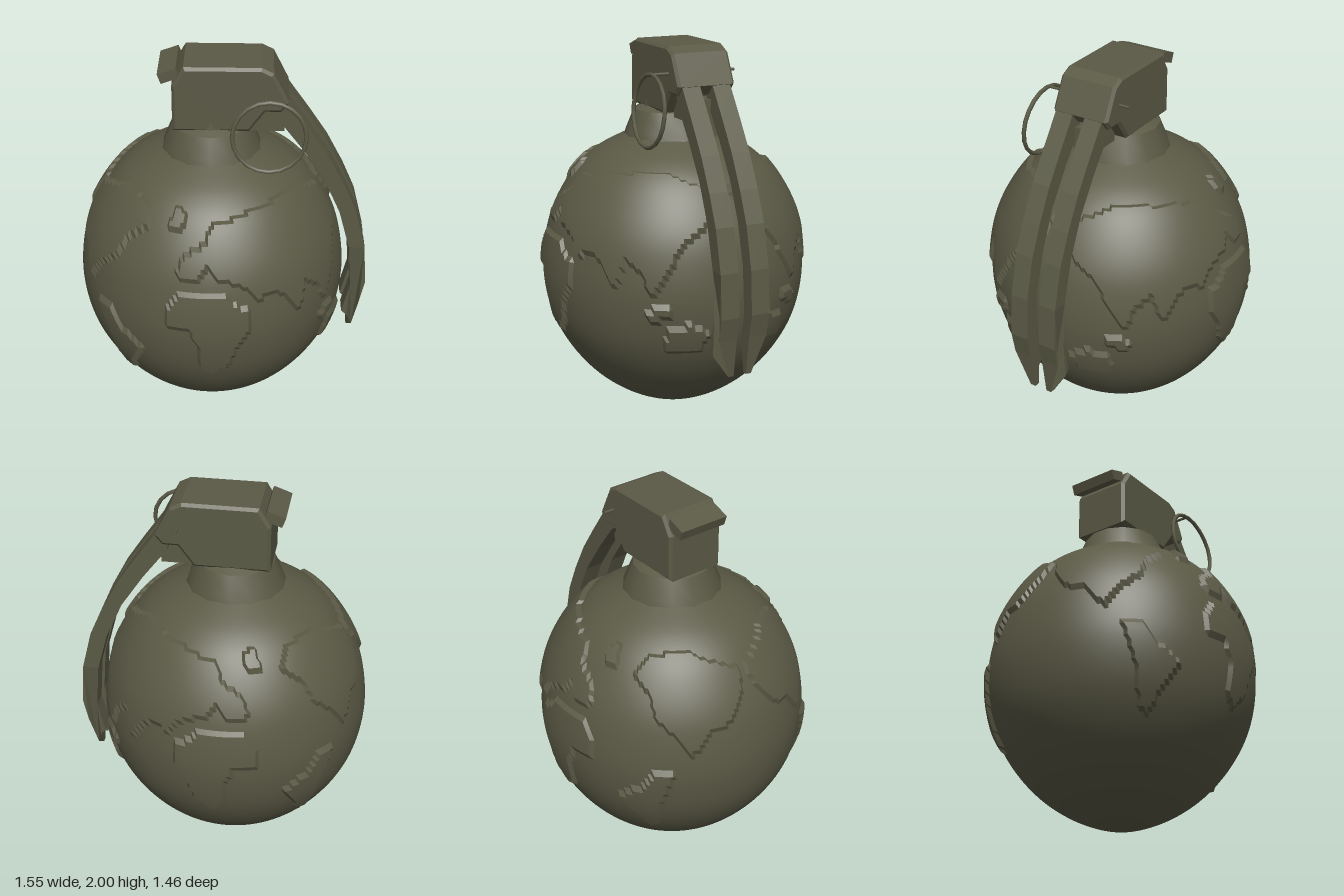
import * as THREE from 'three';
import { toCreasedNormals } from 'three/addons/utils/BufferGeometryUtils.js';

const CX = -0.055; // axis of the round body

// Raised land outlines as [angle from the front in degrees, height]
const LANDS = [
  [[-17, 0.8], [-17, 0.93], [-12, 1.0], [8, 1.0], [12, 0.95], [18, 0.92], [17, 0.8], [12, 0.7], [9, 0.58], [2, 0.5], [-3, 0.55], [-4, 0.7], [-7, 0.8]],
  [[-15, 1.1], [-10, 1.2], [-2, 1.24], [2, 1.32], [25, 1.36], [60, 1.38], [85, 1.3], [80, 1.15], [68, 1.05], [62, 0.9], [55, 0.8],
    [52, 0.92], [45, 0.98], [40, 0.82], [34, 0.95], [28, 1.0], [22, 0.96], [14, 1.05], [4, 1.09], [0, 1.15], [-6, 1.07]],
  [[52, 0.7], [60, 0.77], [66, 0.73], [58, 0.67]],
  [[60, 0.5], [62, 0.62], [72, 0.66], [80, 0.6], [76, 0.5]],
  [[-53, 0.82], [-46, 0.82], [-40, 0.72], [-29, 0.63], [-33, 0.55], [-42, 0.38], [-46, 0.42], [-48, 0.6]],
  [[-88, 1.28], [-60, 1.38], [-38, 1.36], [-32, 1.28], [-42, 1.2], [-45, 1.1], [-55, 1.0], [-60, 0.9], [-68, 1.02], [-78, 1.05], [-86, 1.18]],
  [[-20, 1.38], [-12, 1.36], [-14, 1.3], [-22, 1.28]],
];

function inside(poly, x, y) {
  let hit = false;
  for (let i = 0, j = poly.length - 1; i < poly.length; j = i++) {
    const [xi, yi] = poly[i], [xj, yj] = poly[j];
    if ((yi > y) !== (yj > y) && x < (xj - xi) * (y - yi) / (yj - yi) + xi) hit = !hit;
  }
  return hit;
}

const vecs = (pts) => pts.map(([x, y]) => new THREE.Vector2(x, y));

// Extrude an x-y outline between two z values
function slab(pts, z0, z1, bevel = 0) {
  const g = new THREE.ExtrudeGeometry(new THREE.Shape(vecs(pts)), {
    depth: z1 - z0 - 2 * bevel, bevelEnabled: bevel > 0, bevelSize: bevel,
    bevelThickness: bevel, bevelOffset: -bevel, bevelSegments: 1,
  });
  return g.translate(0, 0, z0 + bevel);
}

function globeGeometry() {
  const profile = new THREE.SplineCurve(vecs([
    [0, 0.005], [0.12, 0.012], [0.3, 0.09], [0.46, 0.21], [0.59, 0.37], [0.675, 0.55], [0.71, 0.76],
    [0.69, 0.97], [0.635, 1.14], [0.53, 1.31], [0.41, 1.42], [0.24, 1.51],
  ])).getPoints(80);
  const g = new THREE.LatheGeometry(profile, 240);
  const p = g.attributes.position;
  const mid = new THREE.Vector3(0, 0.76, 0), v = new THREE.Vector3();
  for (let i = 0; i < p.count; i++) {
    v.fromBufferAttribute(p, i);
    // the relief repeats mirrored on the back
    const angle = THREE.MathUtils.radToDeg(Math.atan2(v.x, Math.abs(v.z)));
    if (LANDS.some((land) => inside(land, angle, v.y))) {
      v.sub(mid).multiplyScalar(1.025).add(mid);
      p.setXYZ(i, v.x, v.y, v.z);
    }
  }
  return toCreasedNormals(g, 0.4);
}

// One prong of the lever, its tip narrowing towards the middle
function prongGeometry(side) {
  const outline = [
    [0.24, 1.9], [0.28, 1.72], [0.41, 1.55], [0.53, 1.37], [0.62, 1.17], [0.68, 0.95], [0.70, 0.7], [0.66, 0.53], [0.69, 0.5], [0.695, 0.39],
    [0.725, 0.39], [0.755, 0.6], [0.78, 0.72], [0.765, 0.95], [0.71, 1.17], [0.64, 1.33], [0.55, 1.5], [0.45, 1.65], [0.33, 1.82],
  ];
  const inner = 0.035, outer = 0.135;
  const g = side > 0 ? slab(outline, inner, outer) : slab(outline, -outer, -inner);
  const p = g.attributes.position;
  for (let i = 0; i < p.count; i++) {
    if (p.getY(i) < 0.45 && Math.abs(p.getZ(i)) > 0.1) p.setZ(i, side * (inner + 0.03));
  }
  g.computeVertexNormals();
  return g;
}

export function createModel() {
  const model = new THREE.Group();
  const olive = new THREE.MeshStandardMaterial({ color: 0x5b5a46 });
  olive.name = 'olive drab';

  const add = (name, geometry, x = 0, y = 0, z = 0) => {
    const m = new THREE.Mesh(geometry, olive);
    m.name = name;
    m.position.set(x, y, z);
    model.add(m);
    return m;
  };

  // Round body with raised land shapes
  add('globeBody', globeGeometry(), CX);

  // Faceted neck
  const neck = new THREE.LatheGeometry(vecs([[0.27, 1.47], [0.25, 1.53], [0.205, 1.64], [0.16, 1.66], [0.15, 1.74], [0, 1.74]]), 14);
  add('neck', toCreasedNormals(neck, 0.5), CX);

  // Head block with a sloping hood over the lever
  add('head', slab([[-0.25, 1.65], [-0.25, 1.9], [-0.19, 2.0], [0.2, 2.0], [0.26, 1.97], [0.34, 1.81],
    [0.3, 1.76], [0.22, 1.76], [0.14, 1.65]], -0.165, 0.155, 0.015));
  add('latchLug', new THREE.BoxGeometry(0.17, 0.11, 0.18), 0.235, 1.68, 0);
  const hinge = add('hingeBar', new THREE.BoxGeometry(0.1, 0.055, 0.28), -0.265, 1.945, -0.01);
  hinge.rotation.z = 0.35;

  // Forked lever
  for (const side of [1, -1]) add(side > 0 ? 'frontLeverProng' : 'backLeverProng', prongGeometry(side));

  // Pull ring and its pin
  const ring = add('pullRing', new THREE.TorusGeometry(0.185, 0.011, 6, 20), 0.24, 1.685, 0.275);
  ring.rotation.x = -0.1;
  const pin = add('pin', new THREE.CylinderGeometry(0.008, 0.008, 0.48, 6), 0.22, 1.865, 0.02);
  pin.rotation.x = Math.PI / 2;

  return model;
}
